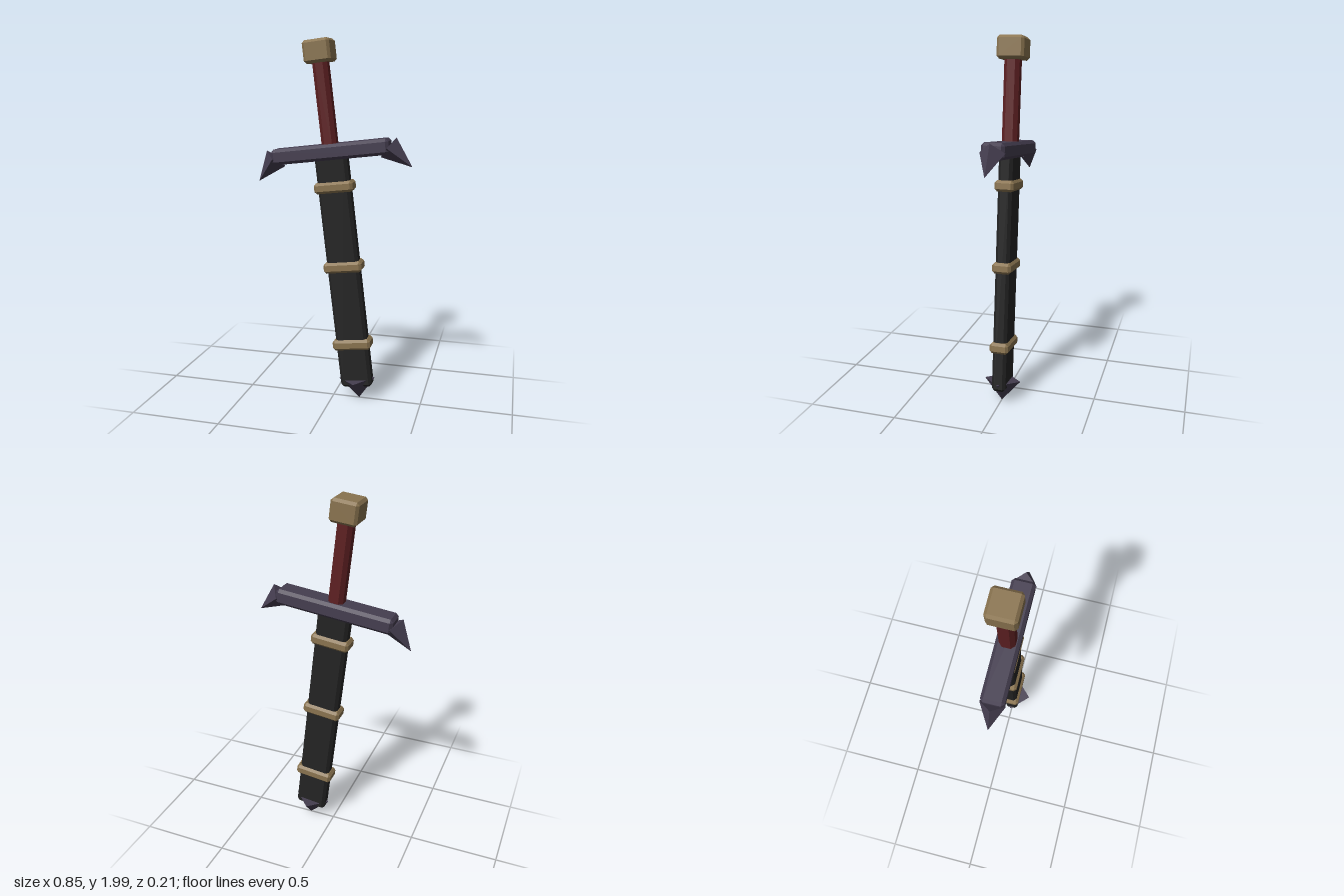
import * as THREE from 'three';
import { ConvexGeometry } from 'three/addons/geometries/ConvexGeometry.js';

const makeMaterial = (name, color) => {
  const m = new THREE.MeshStandardMaterial({ color, flatShading: true });
  m.name = name;
  return m;
};

// Box with a single flat chamfer of width b along every edge
function chamferBox(w, h, d, b) {
  const points = [];
  for (const sx of [-1, 1]) for (const sy of [-1, 1]) for (const sz of [-1, 1]) {
    for (let axis = 0; axis < 3; axis++) {
      const inset = [b, b, b];
      inset[axis] = 0;
      points.push(new THREE.Vector3(
        sx * (w / 2 - inset[0]), sy * (h / 2 - inset[1]), sz * (d / 2 - inset[2])));
    }
  }
  return new ConvexGeometry(points);
}

export function createModel() {
  const gold = makeMaterial('aged gold', 0x8a7450);
  const steel = makeMaterial('purple steel', 0x453e50);
  const leather = makeMaterial('red leather', 0x5e2022);
  const black = makeMaterial('black scabbard', 0x242424);

  const model = new THREE.Group();
  model.name = 'sheathedSword';

  // Everything is built upright from the tip, then leaned to one side
  const sword = new THREE.Group();
  sword.name = 'sword';
  sword.position.set(0.15, 0.005, 0);
  sword.rotation.z = 0.118;
  model.add(sword);

  const add = (name, geometry, material, x, y) => {
    const mesh = new THREE.Mesh(geometry, material);
    mesh.name = name;
    mesh.position.set(x, y, 0);
    sword.add(mesh);
    return mesh;
  };

  // Handle
  add('pommel', chamferBox(0.147, 0.12, 0.148, 0.014), gold, 0, 1.938);
  add('grip', chamferBox(0.082, 0.52, 0.084, 0.02), leather, 0, 1.65);

  // Crossguard with a downturned four-sided spike at each end
  add('guard', chamferBox(0.65, 0.085, 0.124, 0.016), steel, 0, 1.41);
  const dir = new THREE.Vector3(1, -1, 0).normalize();
  for (const side of [-1, 1]) {
    const spike = add(side > 0 ? 'leftGuardSpike' : 'rightGuardSpike',
      new THREE.ConeGeometry(0.067, 0.163, 4), steel,
      side * (0.315 + dir.x * 0.0815), 1.402 + dir.y * 0.0815);
    spike.rotation.z = -side * Math.PI * 0.75;
  }

  // Scabbard and its bands
  add('scabbard', chamferBox(0.178, 1.31, 0.078, 0.016), black, 0, 0.73);
  [0.328, 0.775, 1.219].forEach((y, i) =>
    add('band' + (i + 1), chamferBox(0.215, 0.06, 0.105, 0.014), gold, 0, y));

  // Pointed scabbard tip
  add('scabbardTip', new THREE.ConeGeometry(0.103, 0.118, 4), steel, 0, 0.059)
    .rotation.x = Math.PI;

  return model;
}
